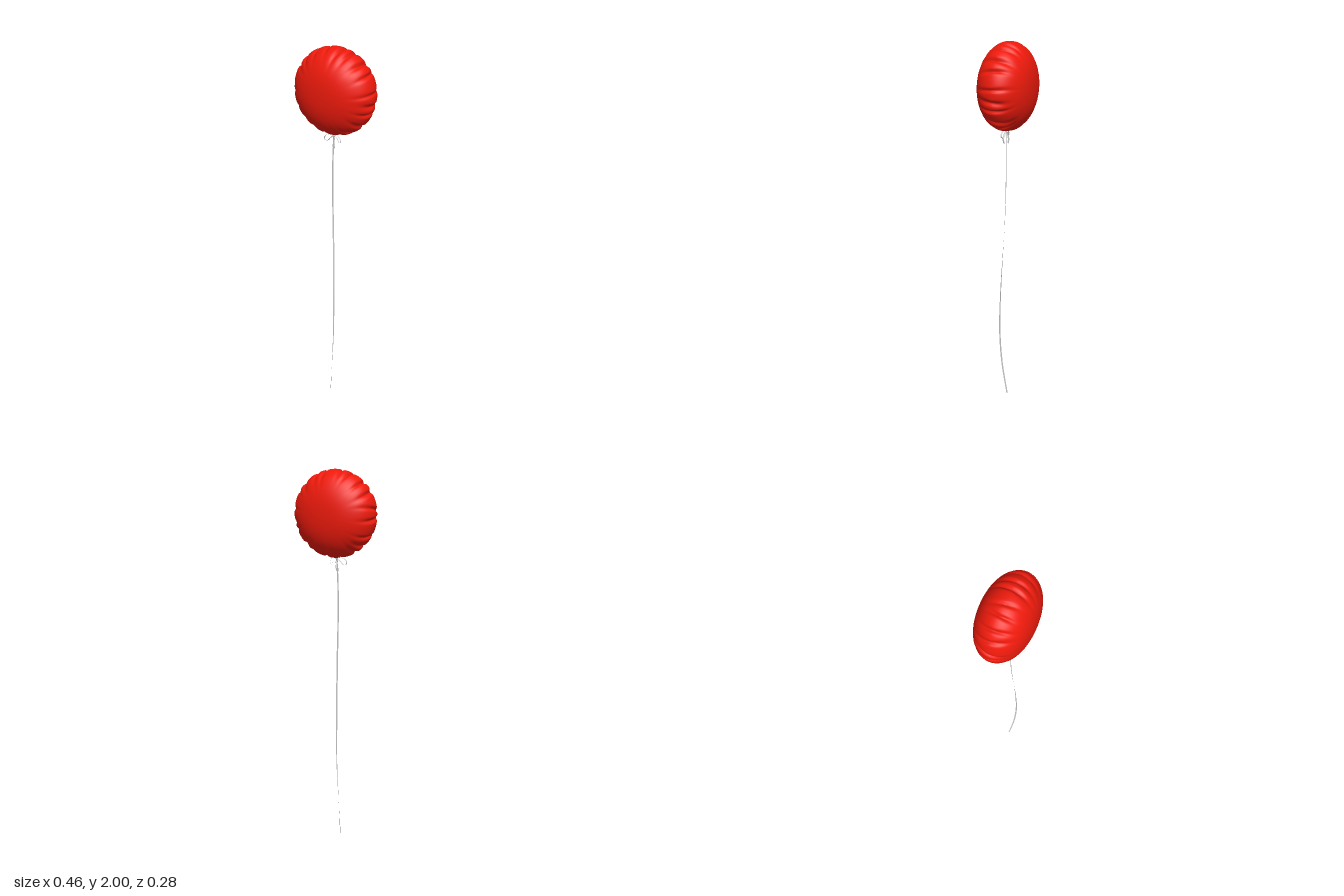
import * as THREE from 'three';
import { mergeVertices } from 'three/addons/utils/BufferGeometryUtils.js';

const V = (x, y, z) => new THREE.Vector3(x, y, z);
const TAU = Math.PI * 2;

function seeded(seed) {
  return () => (seed = (seed * 16807) % 2147483647) / 2147483647;
}

// Flat strip along a curve; widthDir(t) gives the direction across the strip.
function ribbon(name, curve, width, steps, widthDir, material) {
  const pos = [], index = [];
  for (let i = 0; i <= steps; i++) {
    const t = i / steps;
    const p = curve.getPoint(t);
    const d = widthDir(t, p).normalize().multiplyScalar(width / 2);
    pos.push(p.x - d.x, p.y - d.y, p.z - d.z, p.x + d.x, p.y + d.y, p.z + d.z);
    if (i < steps) {
      const a = i * 2;
      index.push(a, a + 1, a + 2, a + 1, a + 3, a + 2);
    }
  }
  const geo = new THREE.BufferGeometry();
  geo.setAttribute('position', new THREE.Float32BufferAttribute(pos, 3));
  geo.setIndex(index);
  geo.computeVertexNormals();
  const mesh = new THREE.Mesh(geo, material);
  mesh.name = name;
  return mesh;
}

// Foil balloon: a flattened round cushion with pinched creases round its rim.
function balloonGeometry(R, H) {
  const rand = seeded(77);
  const count = 20;
  const creases = Array.from({ length: count }, (_, i) => ({
    angle: ((i + 0.5 + (rand() - 0.5) * 0.4) / count) * TAU,
    depth: 0.009 + rand() * 0.008,
    width: 0.03 + rand() * 0.02,
    lean: (rand() - 0.5) * 0.25,
    reach: 4 + rand() * 4,
  }));
  let geo = new THREE.SphereGeometry(1, 280, 80);
  geo.rotateX(Math.PI / 2);
  geo.deleteAttribute('uv');
  geo.deleteAttribute('normal');
  geo = mergeVertices(geo, 1e-5);
  const p = geo.attributes.position;
  for (let i = 0; i < p.count; i++) {
    const x = p.getX(i), y = p.getY(i), c = p.getZ(i);
    const s = Math.min(1, Math.hypot(x, y));
    const angle = Math.atan2(y, x);
    let r = R * Math.pow(s, 0.88);
    for (const k of creases) {
      let d = angle - k.angle - k.lean * c;
      d -= Math.round(d / TAU) * TAU;
      const w = k.width * (1 + 1.2 * Math.abs(c));
      r -= k.depth * Math.exp(-((d / w) ** 2)) * Math.pow(s, k.reach);
    }
    const f = s > 1e-6 ? r / s : 0;
    p.setXYZ(i, x * f, y * f, H * c);
  }
  geo.computeVertexNormals();
  return geo;
}

export function createModel() {
  const model = new THREE.Group();
  model.name = 'balloonOnString';
  const red = new THREE.MeshStandardMaterial({ color: 0xee1a0c });
  const grey = new THREE.MeshStandardMaterial({ color: 0xcccccc, side: THREE.DoubleSide });

  const balloon = new THREE.Mesh(balloonGeometry(0.231, 0.141), red);
  balloon.name = 'balloon';
  balloon.position.y = 1.77;
  model.add(balloon);

  // Long ribbon string, twisting as it hangs
  const path = new THREE.CatmullRomCurve3([
    V(0, 1.545, 0.012), V(-0.006, 1.4, 0.015), V(-0.006, 1.2, 0.017), V(0.001, 1, 0.022),
    V(0.009, 0.8, 0.032), V(0.015, 0.6, 0.041), V(0.016, 0.4, 0.045), V(0.002, 0.2, 0.038),
    V(-0.021, 0, 0.017),
  ]);
  const twist = (y) => (y > 1.2 ? 0 : 2.45 * Math.pow(1 - y / 1.2, 1.2));
  model.add(ribbon('string', path, 0.008, 120,
    (t, p) => V(Math.cos(twist(p.y)), 0, -Math.sin(twist(p.y))), grey));

  // Bow tied under the balloon: two loops and two tails
  const bow = new THREE.Group();
  bow.name = 'bow';
  bow.position.set(0, 1.535, 0.014);
  for (const side of [-1, 1]) {
    const label = side > 0 ? 'left' : 'right';
    const reach = side > 0 ? 0.044 : 0.054;
    const loop = new THREE.CatmullRomCurve3([
      V(0, 0, 0), V(side * reach * 0.5, 0.003, 0.004), V(side * reach * 0.92, -0.01, 0.008),
      V(side * reach, -0.028, 0.006), V(side * reach * 0.72, -0.034, 0.002),
      V(side * reach * 0.45, -0.018, -0.002), V(0, 0, 0),
    ]);
    bow.add(ribbon(label + 'Loop', loop, 0.008, 40, () => V(side * 0.25, 0.1, 1), grey));
    const tail = new THREE.CatmullRomCurve3([
      V(0, 0, 0), V(side * 0.009, -0.02, 0.006 * side),
      V(side * 0.012, -0.045, 0.01 * side), V(side * 0.009 - 0.003, -0.07, 0.008 * side),
    ]);
    bow.add(ribbon(label + 'Tail', tail, 0.008, 20, (t) => V(Math.cos(t + 0.6), 0, Math.sin(t + 0.6)), grey));
  }
  const knot = new THREE.Mesh(new THREE.SphereGeometry(0.007, 16, 10), grey);
  knot.name = 'knot';
  bow.add(knot);
  model.add(bow);

  return model;
}
